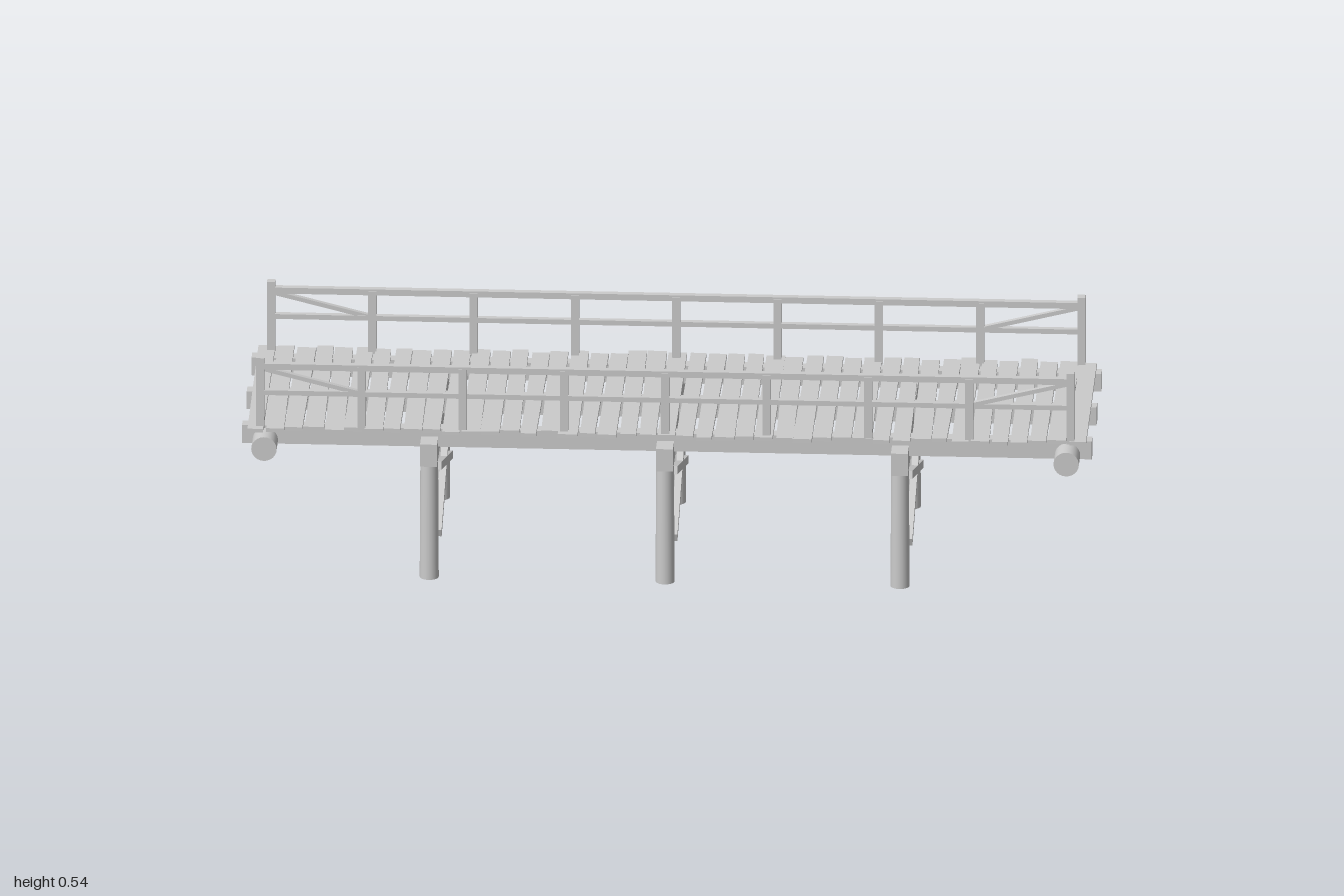
import * as THREE from 'three';

export function createModel() {
  const bridge = new THREE.Group();
  bridge.name = 'woodenBridge';
  const wood = new THREE.MeshStandardMaterial({ color: 0xcccccc });

  // small seeded generator, returns -1..1
  let seed = 7;
  const jitter = () => {
    seed = (seed * 16807) % 2147483647;
    return (seed / 2147483647) * 2 - 1;
  };

  const add = (name, geometry, x, y, z, parent = bridge) => {
    const mesh = new THREE.Mesh(geometry, wood);
    mesh.name = name;
    mesh.position.set(x, y, z);
    parent.add(mesh);
    return mesh;
  };
  const box = (name, w, h, d, x, y, z, parent) =>
    add(name, new THREE.BoxGeometry(w, h, d), x, y, z, parent);

  // Stringers running the length of the deck
  for (const z of [-0.216, 0, 0.216]) box('stringer', 2, 0.045, 0.031, 0, 0.342, z);

  // Round logs carrying both ends
  for (const x of [-0.945, 0.943]) {
    const log = add('endLog', new THREE.CylinderGeometry(0.03, 0.03, 0.584, 24), x, 0.329, 0);
    log.rotation.x = Math.PI / 2;
  }

  // Trestles: two round posts, a cap beam and a crossed brace
  for (const x of [-0.558, -0.003, 0.55]) {
    const trestle = new THREE.Group();
    trestle.name = 'trestle';
    trestle.position.x = x;
    bridge.add(trestle);
    box('capBeam', 0.04, 0.056, 0.568, 0, 0.317, 0, trestle);
    for (const side of [-1, 1]) {
      add('post', new THREE.CylinderGeometry(0.021, 0.0225, 0.292, 20), 0, 0.146, side * 0.254, trestle);
      const brace = box('crossBrace', 0.016, 0.019, 0.53, 0.021, 0.194, 0, trestle);
      brace.rotation.x = side * Math.atan2(0.17, 0.5);
    }
  }

  // Deck planks, each slightly uneven in width, length, taper and angle
  const deck = new THREE.Group();
  deck.name = 'deck';
  bridge.add(deck);
  const count = 43;
  const pitch = 1.98 / count;
  for (let i = 0; i < count; i++) {
    const width = 0.041 + 0.003 * jitter();
    const geometry = new THREE.BoxGeometry(width, 0.009, 0.52 + 0.018 * jitter());
    const taper = 0.1 * jitter();
    const p = geometry.attributes.position;
    for (let v = 0; v < p.count; v++) p.setX(v, p.getX(v) * (1 + taper * Math.sign(p.getZ(v))));
    geometry.computeVertexNormals();
    const plank = add('plank', geometry, -0.99 + (i + 0.5) * pitch, 0.3675 + 0.001 * jitter(), 0.007 * jitter(), deck);
    plank.rotation.y = 0.011 * jitter();
  }

  // Railings: nine posts, two rails and a diagonal in each end bay
  const posts = 9, first = -0.956, last = 0.951;
  const bay = (last - first) / (posts - 1);
  for (const side of [-1, 1]) {
    const railing = new THREE.Group();
    railing.name = side > 0 ? 'frontRailing' : 'backRailing';
    railing.position.z = side * 0.243;
    bridge.add(railing);
    for (let i = 0; i < posts; i++) {
      const top = i === 0 || i === posts - 1 ? 0.543 : 0.523;
      box('railPost', 0.019, top - 0.365, 0.02, first + i * bay, (top + 0.365) / 2, 0, railing);
    }
    const mid = (first + last) / 2;
    box('topRail', last - first, 0.015, 0.016, mid, 0.521, 0, railing);
    box('middleRail', last - first, 0.012, 0.014, mid, 0.455, 0, railing);
    for (const end of [-1, 1]) {
      const x = end < 0 ? first + bay / 2 : last - bay / 2;
      const diagonal = box('diagonalRail', Math.hypot(bay, 0.06), 0.01, 0.012, x, 0.486, 0, railing);
      diagonal.rotation.z = end * Math.atan2(0.06, bay);
    }
  }
  return bridge;
}
